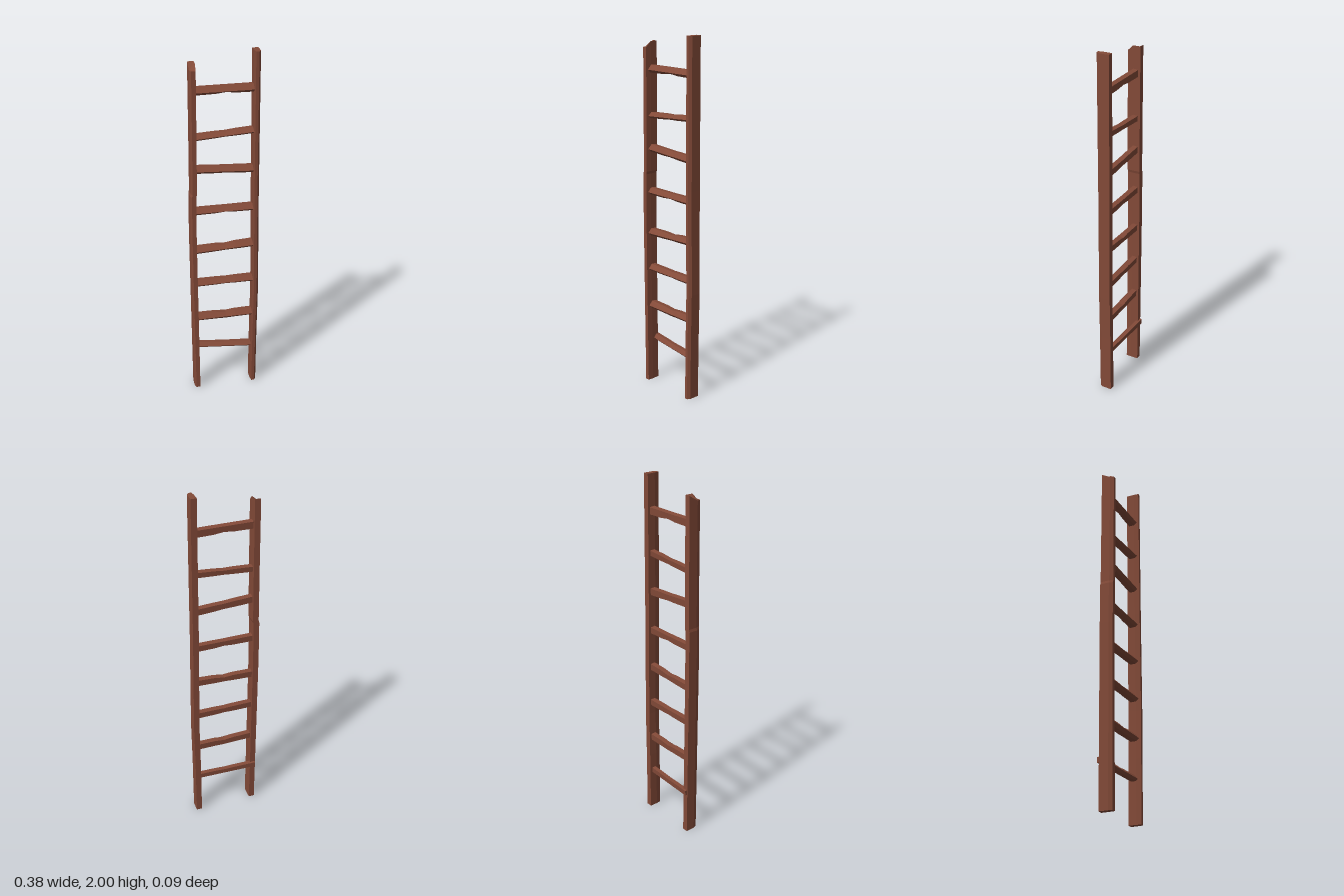
import * as THREE from 'three';

// Skin a row of equal-length corner loops and close both ends.
function loft(loops) {
  const p = [];
  const tri = (...c) => c.forEach((v) => p.push(...v));
  const n = loops[0].length;
  for (let s = 0; s < loops.length - 1; s++) {
    const a = loops[s], b = loops[s + 1];
    for (let i = 0; i < n; i++) {
      const j = (i + 1) % n;
      tri(a[i], a[j], b[j]);
      tri(a[i], b[j], b[i]);
    }
  }
  const first = loops[0], last = loops[loops.length - 1];
  for (let i = 1; i < n - 1; i++) {
    tri(first[0], first[i + 1], first[i]);
    tri(last[0], last[i], last[i + 1]);
  }
  const g = new THREE.BufferGeometry();
  g.setAttribute('position', new THREE.Float32BufferAttribute(p, 3));
  g.computeVertexNormals();
  return g;
}

export function createModel() {
  const ladder = new THREE.Group();
  ladder.name = 'ladder';
  const wood = new THREE.MeshStandardMaterial({ color: 0x834a38, flatShading: true });
  wood.name = 'reddish brown wood';

  const add = (name, geometry) => {
    const mesh = new THREE.Mesh(geometry, wood);
    mesh.name = name;
    ladder.add(mesh);
  };

  // Rails: [x, z] outline carried up through [height, sideways bow, drop of the front edge]
  const rail = (outline, stations) => loft(stations.map(([y, bow, drop = 0]) =>
    outline.map(([x, z]) => [x + bow, y - (z > 0.02 ? drop : 0), z])));

  add('rightRail', rail(
    [[-0.181, 0.022], [-0.174, 0.043], [-0.151, 0.043], [-0.149, 0.012], [-0.149, -0.03], [-0.181, -0.03]],
    [[0, 0], [0.6, -0.005], [1.0, -0.008], [1.235, -0.007], [1.25, -0.003], [1.6, -0.001], [1.95, 0, 0.03]]));
  add('leftRail', rail(
    [[0.152, 0.015], [0.156, 0.043], [0.172, 0.043], [0.183, 0.028], [0.184, -0.03], [0.152, -0.03]],
    [[0, 0], [0.35, 0.002], [0.62, 0.006], [1.2, 0], [2, -0.003]]));

  // Rungs: [y at -x end, y at +x end, half height, top dent, bottom dent, backward skew]
  const rungs = [
    [0.26, 0.245, 0.016, 0.003, 0, 0.028],
    [0.468, 0.468, 0.02, 0.009, -0.002, 0],
    [0.692, 0.692, 0.019, 0.003, 0.003, 0],
    [0.901, 0.915, 0.02, 0.009, 0.002, 0],
    [1.137, 1.137, 0.019, 0.001, 0.006, 0],
    [1.38, 1.361, 0.02, 0.002, 0.003, 0],
    [1.558, 1.579, 0.016, 0.004, 0.002, 0],
    [1.807, 1.807, 0.021, 0, 0.008, 0],
  ];
  rungs.forEach(([yA, yB, h, top, bottom, skew], k) => {
    const x0 = skew ? -0.179 : -0.165, x1 = 0.165;
    const loops = [0, 0.36, 0.52, 0.68, 1].map((t, s) => {
      const dent = [0, 0.25, 1, 0.2, 0][s];
      const y = yA + (yB - yA) * t;
      const z = -skew * (1 - t);
      const up = h - top * dent, down = -h + bottom * dent;
      const slim = skew ? 0.8 : 1;
      return [[0.85 * up, -0.018], [up, 0.01], [-0.25 * h, 0.031], [down, 0.016], [down, -0.016]]
        .map(([dy, dz]) => [x0 + (x1 - x0) * t, y + dy, z + dz * slim]);
    });
    add(`rung${k + 1}`, loft(loops));
  });

  return ladder;
}
